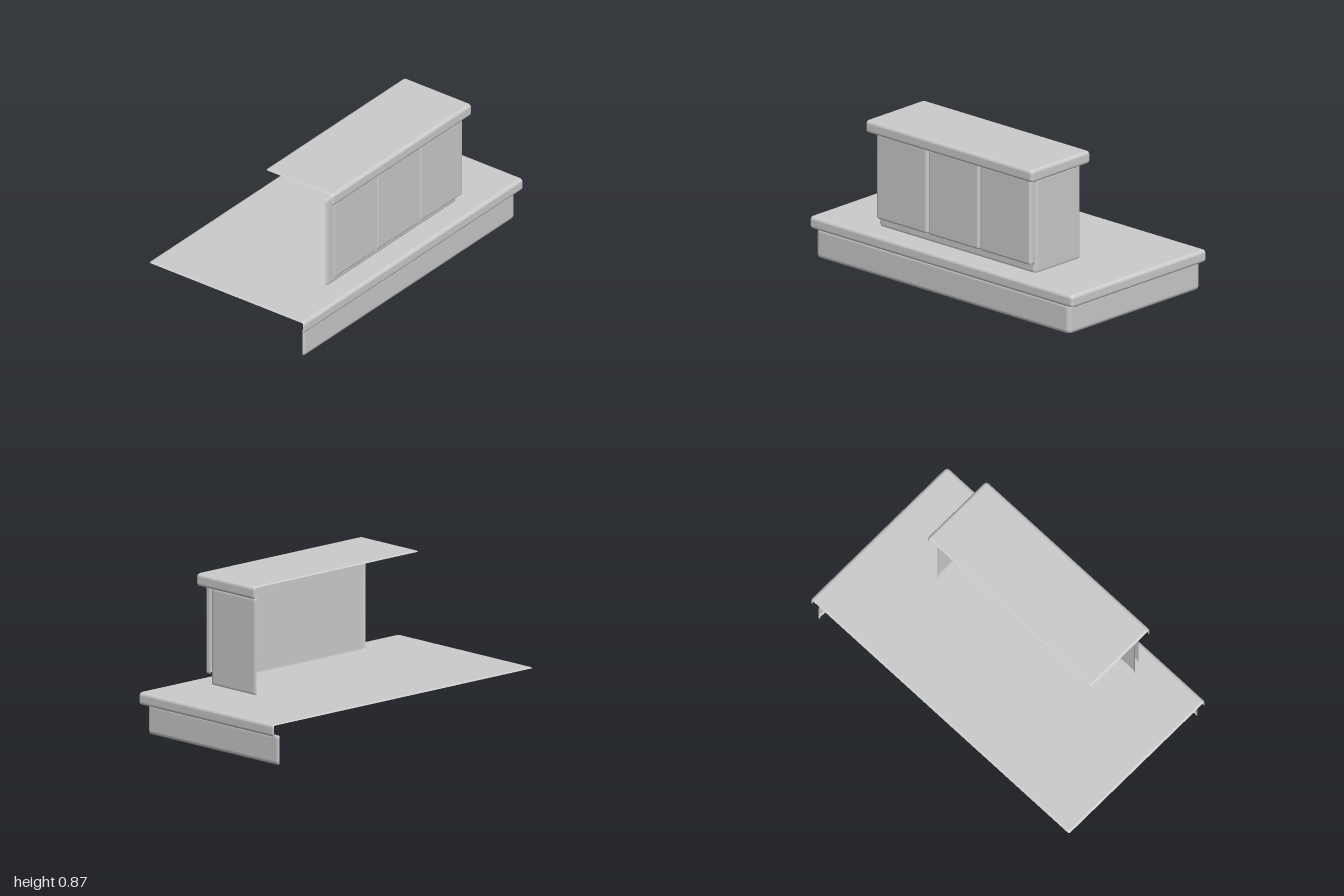
import * as THREE from 'three';
import { RoundedBoxGeometry } from 'three/addons/geometries/RoundedBoxGeometry.js';

const material = new THREE.MeshStandardMaterial({ color: 0xcccccc, side: THREE.DoubleSide });

// Sides of a box in geometry order: +x, -x, +y, -y, +z, -z
const RIGHT = 0, TOP = 2, FRONT = 4;

// Keeps only the given sides of a rounded box, each with its half of the rounded edges
function keepSides(box, sides) {
  const out = new THREE.BufferGeometry();
  for (const name of ['position', 'normal']) {
    const { array } = box.attributes[name];
    const n = array.length / 6;
    const kept = new Float32Array(n * sides.length);
    sides.forEach((s, i) => kept.set(array.subarray(s * n, (s + 1) * n), i * n));
    out.setAttribute(name, new THREE.BufferAttribute(kept, 3));
  }
  return out;
}

// Open rounded shell from its visible limits; open ends stop halfway round the edge
function shell(name, [x0, x1], [y0, y1], [z0, z1], r, sides) {
  const cut = r * (1 - Math.SQRT1_2);
  x0 -= cut;
  y0 -= cut;
  z0 -= cut;
  if (!sides.includes(TOP)) y1 += cut;
  const box = new RoundedBoxGeometry(x1 - x0, y1 - y0, z1 - z0, 3, r);
  const mesh = new THREE.Mesh(keepSides(box, sides), material);
  mesh.position.set((x0 + x1) / 2, (y0 + y1) / 2, (z0 + z1) / 2);
  mesh.name = name;
  return mesh;
}

export function createModel() {
  const group = new THREE.Group();
  group.name = 'counterWithCabinet';
  const walls = [RIGHT, FRONT];
  const slab = [RIGHT, TOP, FRONT];

  // Low base and its overhanging slab
  group.add(shell('base', [-0.97, 0.955], [0, 0.17], [-0.54, 0.522], 0.03, walls));
  group.add(shell('baseSlab', [-1, 1], [0.172, 0.242], [-0.546, 0.546], 0.022, slab));

  // Cabinet body and its top
  group.add(shell('cabinetBody', [-0.605, 0.585], [0.234, 0.798], [0.032, 0.4], 0.03, walls));
  group.add(shell('cabinetTop', [-0.643, 0.626], [0.802, 0.873], [0, 0.473], 0.022, slab));

  // Three door panels across the front
  for (let i = 0; i < 3; i++) {
    const x = -0.59 + i * 0.394;
    group.add(shell('doorPanel' + (i + 1), [x, x + 0.385], [0.298, 0.798], [0.397, 0.441], 0.018, walls));
  }
  return group;
}
